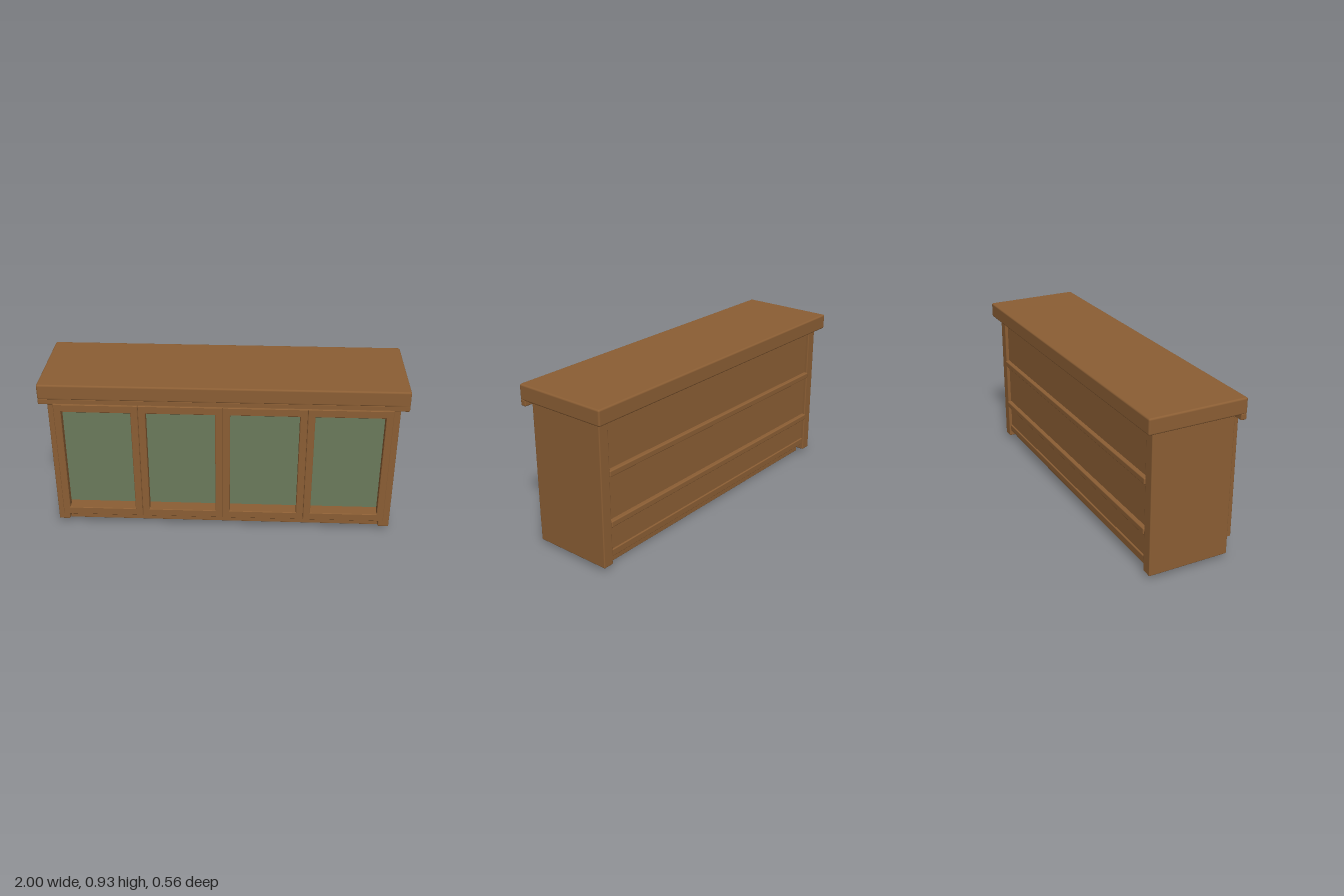
import * as THREE from 'three';
import { RoundedBoxGeometry } from 'three/addons/geometries/RoundedBoxGeometry.js';

export function createModel() {
  const model = new THREE.Group();
  model.name = 'sideboard';
  const wood = new THREE.MeshStandardMaterial({ color: 0x8b5e34 });
  wood.name = 'wood';
  const glass = new THREE.MeshStandardMaterial({ color: 0x6b7a5c });
  glass.name = 'green glass';

  // Softly rounded board given by its extents on each axis
  function board(name, [x0, x1], [y0, y1], [z0, z1], radius = 0.005, material = wood) {
    const geometry = radius > 0
      ? new RoundedBoxGeometry(x1 - x0, y1 - y0, z1 - z0, 2, radius)
      : new THREE.BoxGeometry(x1 - x0, y1 - y0, z1 - z0);
    const mesh = new THREE.Mesh(geometry, material);
    mesh.name = name;
    mesh.position.set((x0 + x1) / 2, (y0 + y1) / 2, (z0 + z1) / 2);
    model.add(mesh);
    return mesh;
  }

  // Worktop and the trim strip under its front edge
  board('worktop', [-1, 1], [0.838, 0.926], [-0.281, 0.275], 0.01);
  board('frontTrim', [-1, 1], [0.808, 0.845], [0.239, 0.273], 0.007);

  // Carcass
  board('leftSide', [0.897, 0.96], [0.025, 0.842], [-0.237, 0.232], 0.006);
  board('rightSide', [-0.96, -0.897], [0.025, 0.842], [-0.237, 0.232], 0.006);
  board('plinth', [-0.905, 0.905], [0, 0.066], [-0.185, 0.181], 0.004);
  board('floorPanel', [-0.9, 0.9], [0.063, 0.102], [-0.228, 0.226], 0.004);
  board('backPanel', [-0.9, 0.9], [0.064, 0.84], [-0.219, -0.204], 0);

  // Shelves whose rear edges stand proud of the back panel
  for (const y of [0.241, 0.525]) {
    board('shelf', [-0.9, 0.9], [y, y + 0.035], [-0.243, 0.2], 0.006);
  }

  // Four framed glass doors
  const doorWidth = 0.459, y0 = 0.097, y1 = 0.815, stile = 0.04, rail = 0.046;
  const frame = new THREE.Shape();
  const w = doorWidth / 2 - 0.0005;
  frame.moveTo(-w, y0).lineTo(w, y0).lineTo(w, y1).lineTo(-w, y1).closePath();
  const hole = new THREE.Path();
  const hw = w - stile;
  hole.moveTo(-hw, y0 + rail).lineTo(-hw, y1 - rail).lineTo(hw, y1 - rail).lineTo(hw, y0 + rail).closePath();
  frame.holes.push(hole);
  const bevel = 0.003;
  const frameGeometry = new THREE.ExtrudeGeometry(frame, {
    depth: 0.046 - 2 * bevel, bevelThickness: bevel, bevelSize: bevel,
    bevelOffset: -bevel, bevelSegments: 1,
  });
  for (let i = 0; i < 4; i++) {
    const x = (i - 1.5) * doorWidth;
    const door = new THREE.Mesh(frameGeometry, wood);
    door.name = 'doorFrame';
    door.position.set(x, 0, 0.237 + bevel);
    model.add(door);
    board('doorGlass', [x - hw - 0.003, x + hw + 0.003], [0.164, 0.749], [0.23, 0.238], 0, glass);
  }
  return model;
}
